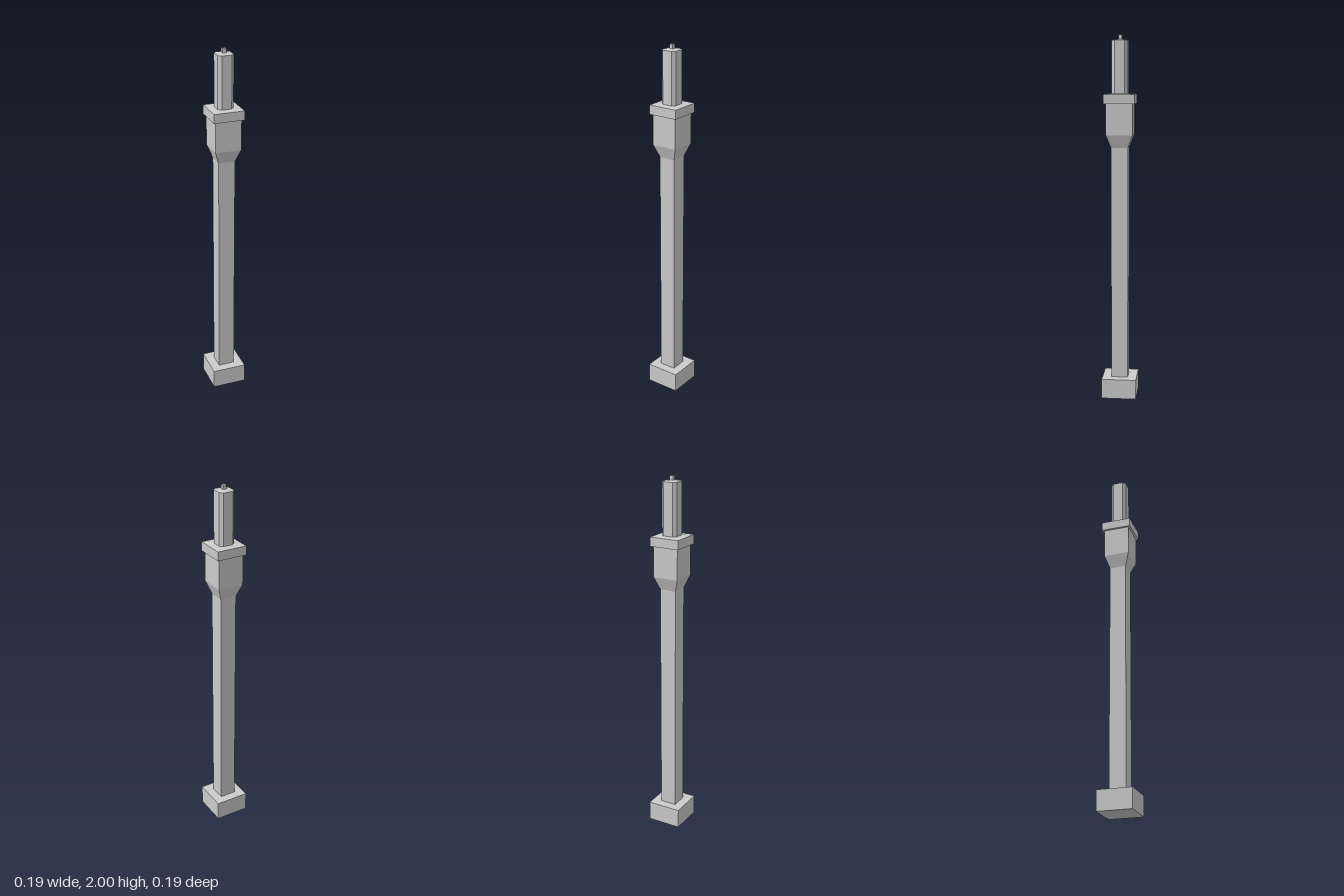
import * as THREE from 'three';

const material = new THREE.MeshStandardMaterial({ color: 0xcccccc, flatShading: true });

// Outline of a square with half-width r, corners cut back to half-flat f
function outline(r, f) {
  const pts = f < r
    ? [[r, -f], [r, f], [f, r], [-f, r], [-r, f], [-r, -f], [-f, -r], [f, -r]]
    : [[r, -r], [r, r], [-r, r], [-r, -r]];
  return pts;
}

// Stack of [y, halfWidth, halfFlat] sections, closed at both ends
function stack(name, sections) {
  const rings = sections.map(([y, r, f = r]) => outline(r, f).map(([x, z]) => [x, y, z]));
  const n = rings[0].length;
  const pos = [];
  const tri = (a, b, c) => pos.push(...a, ...b, ...c);
  for (let k = 0; k < rings.length - 1; k++) {
    for (let i = 0; i < n; i++) {
      const j = (i + 1) % n, lo = rings[k], hi = rings[k + 1];
      tri(lo[i], hi[i], hi[j]);
      tri(lo[i], hi[j], lo[j]);
    }
  }
  const first = rings[0], last = rings[rings.length - 1];
  for (let i = 1; i < n - 1; i++) {
    tri(first[0], first[i], first[i + 1]);
    tri(last[0], last[i + 1], last[i]);
  }
  const geo = new THREE.BufferGeometry();
  geo.setAttribute('position', new THREE.Float32BufferAttribute(pos, 3));
  geo.computeVertexNormals();
  const mesh = new THREE.Mesh(geo, material);
  mesh.name = name;
  return mesh;
}

export function createModel() {
  const group = new THREE.Group();
  group.name = 'post';
  group.add(
    // square plinth and long square shaft
    stack('base', [[0, 0.096], [0.11, 0.096]]),
    stack('shaft', [[0.11, 0.046], [1.4, 0.046]]),
    // flared head under the cap
    stack('head', [[1.4, 0.046], [1.47, 0.072], [1.637, 0.072]]),
    // cap slab, its top rising very slightly towards the middle
    stack('cap', [[1.637, 0.084], [1.687, 0.084], [1.691, 0.044]]),
    // chamfered upper post with a shallow sloped top
    stack('upperPost', [[1.685, 0.044, 0.027], [1.972, 0.044, 0.027], [1.977, 0.01, 0.006]]),
    // small square pin
    stack('pin', [[1.97, 0.01], [2, 0.01]])
  );
  return group;
}
